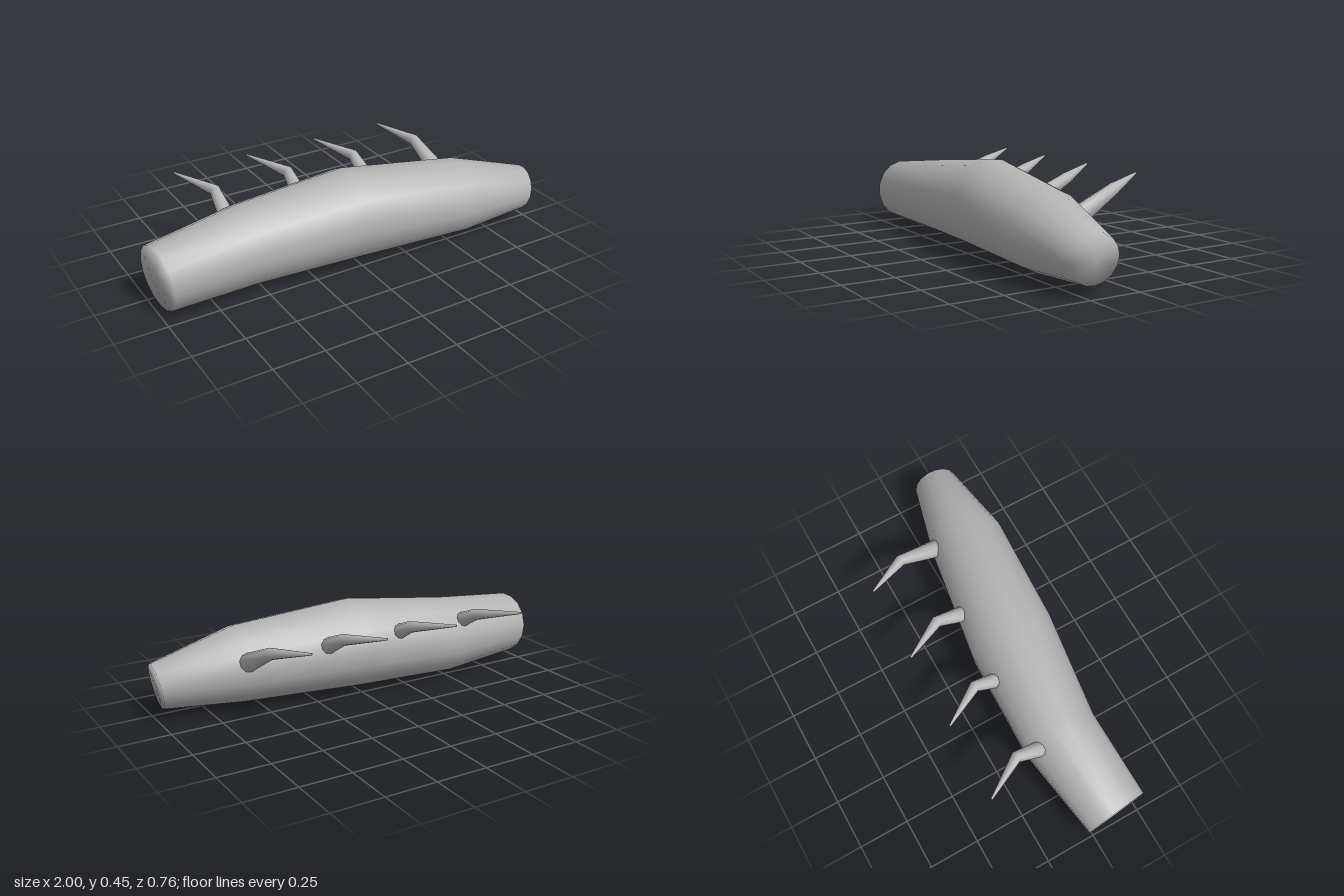
import * as THREE from 'three';

// Closed smooth skin through a list of rings (arrays of Vector3, counter-clockwise around the path)
function loft(rings) {
  const n = rings[0].length;
  const pos = [];
  const idx = [];
  rings.forEach((ring) => ring.forEach((p) => pos.push(p.x, p.y, p.z)));
  for (let r = 0; r < rings.length - 1; r++) {
    for (let i = 0; i < n; i++) {
      const a = r * n + i;
      const b = r * n + ((i + 1) % n);
      idx.push(a, b, b + n, a, b + n, a + n);
    }
  }
  // End caps share the rim so the shading rolls over the edge
  const cap = (ring, start, flip) => {
    const c = new THREE.Vector3();
    ring.forEach((p) => c.addScaledVector(p, 1 / n));
    const k = pos.length / 3;
    pos.push(c.x, c.y, c.z);
    for (let i = 0; i < n; i++) {
      const a = start + i;
      const b = start + ((i + 1) % n);
      if (flip) idx.push(k, b, a);
      else idx.push(k, a, b);
    }
  };
  cap(rings[0], 0, true);
  cap(rings[rings.length - 1], (rings.length - 1) * n, false);
  const g = new THREE.BufferGeometry();
  g.setAttribute('position', new THREE.Float32BufferAttribute(pos, 3));
  g.setIndex(idx);
  g.computeVertexNormals();
  return g;
}

// Ring of the trunk: centre, radii, and lean of the section along x per unit of y and z
function trunkRing([x, y, z, ry, rz, leanY, leanZ], sides = 16) {
  return Array.from({ length: sides }, (_, i) => {
    const a = ((i + 0.3) / sides) * Math.PI * 2;
    const dy = Math.cos(a) * ry;
    const dz = Math.sin(a) * rz;
    return new THREE.Vector3(x + leanY * dy + leanZ * dz, y + dy, z + dz);
  });
}

// Round ring of a spike, square to the given direction
function spikeRing(centre, dir, radius, sides = 10) {
  const t = dir.clone().normalize();
  const u = new THREE.Vector3(0, 1, 0).addScaledVector(t, -t.y).normalize();
  const v = new THREE.Vector3().crossVectors(t, u);
  return Array.from({ length: sides }, (_, i) => {
    const a = (i / sides) * Math.PI * 2;
    return centre.clone()
      .addScaledVector(u, Math.cos(a) * radius)
      .addScaledVector(v, Math.sin(a) * radius);
  });
}

export function createModel() {
  const group = new THREE.Group();
  group.name = 'spikedLog';
  const grey = new THREE.MeshStandardMaterial({ color: 0xb4b4b4 });
  grey.name = 'grey';

  // Bent, swelling trunk
  const sections = [
    [-0.983, 0.178, 0.12, 0.158, 0.157, -0.06, 0.11],
    [-0.53, 0.197, 0.078, 0.195, 0.19, 0, 0],
    [0.0, 0.233, 0.117, 0.222, 0.22, 0, 0],
    [0.587, 0.208, 0.187, 0.187, 0.19, 0, -0.08],
    [0.982, 0.16, 0.216, 0.111, 0.112, 0.16, -0.09],
  ];
  const trunk = new THREE.Mesh(loft(sections.map((s) => trunkRing(s))), grey);
  trunk.name = 'trunk';
  group.add(trunk);

  // Row of kinked spikes along the back: x of base, knee and tip
  const spikes = [
    [-0.568, -0.557, -0.678],
    [-0.178, -0.166, -0.288],
    [0.21, 0.21, 0.095],
    [0.6, 0.583, 0.483],
  ];
  spikes.forEach(([bx, kx, tx], i) => {
    const base = new THREE.Vector3(bx, 0.265, 0.02);
    const knee = new THREE.Vector3(kx, 0.367, -0.183);
    const tip = new THREE.Vector3(tx, 0.406, -0.38);
    const d1 = knee.clone().sub(base).normalize();
    const d2 = tip.clone().sub(knee).normalize();
    const spike = new THREE.Mesh(loft([
      spikeRing(base, d1, 0.046),
      spikeRing(knee, d1.clone().add(d2), 0.028),
      spikeRing(tip, d2, 0.005),
    ]), grey);
    spike.name = `spike${i + 1}`;
    group.add(spike);
  });

  return group;
}
